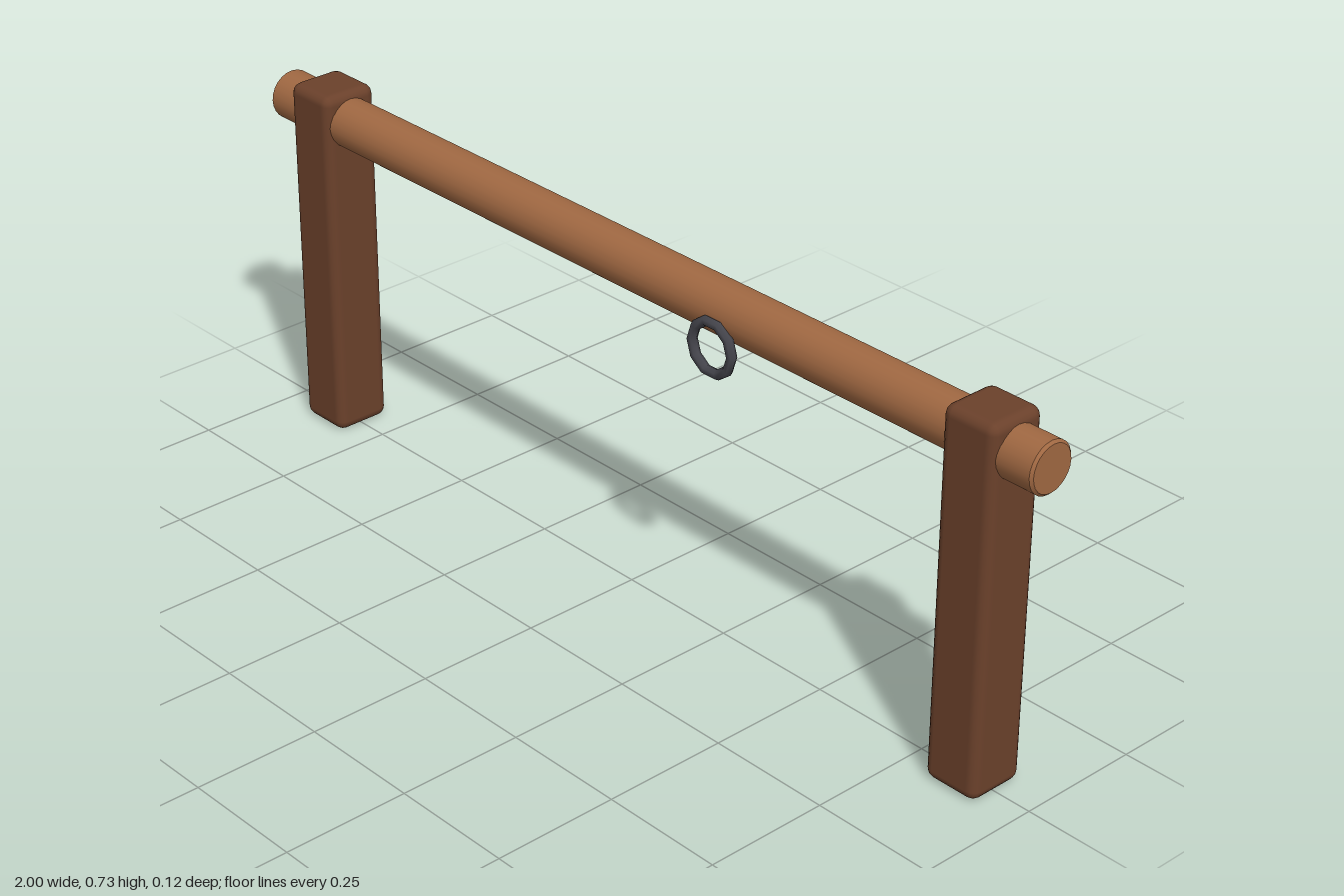
import * as THREE from 'three';
import { RoundedBoxGeometry } from 'three/addons/geometries/RoundedBoxGeometry.js';
import { toCreasedNormals } from 'three/addons/utils/BufferGeometryUtils.js';

const material = (name, color) => {
  const m = new THREE.MeshStandardMaterial({ color });
  m.name = name;
  return m;
};

export function createModel() {
  const darkWood = material('dark wood', 0x6b412b);
  const lightWood = material('light wood', 0xa06842);
  const iron = material('dark iron', 0x45454c);

  const group = new THREE.Group();
  group.name = 'hitchingRail';
  const add = (name, geometry, mat, x, y, z) => {
    const mesh = new THREE.Mesh(geometry, mat);
    mesh.name = name;
    mesh.position.set(x, y, z);
    group.add(mesh);
    return mesh;
  };

  // Two rounded upright posts
  const post = new RoundedBoxGeometry(0.118, 0.733, 0.12, 2, 0.02);
  add('leftPost', post, darkWood, 0.867, 0.3665, -0.001);
  add('rightPost', post, darkWood, -0.867, 0.3665, -0.001);

  // Round rail with slightly eased ends, running through both posts
  const profile = [[0, -1], [0.045, -1], [0.05, -0.995], [0.05, 0.995], [0.045, 1], [0, 1]]
    .map(([r, y]) => new THREE.Vector2(r, y));
  const railGeometry = toCreasedNormals(new THREE.LatheGeometry(profile, 24), 0.6);
  add('rail', railGeometry, lightWood, 0, 0.669, 0).rotation.z = -Math.PI / 2;

  // Tether ring hanging on the front of the rail
  add('tetherRing', new THREE.TorusGeometry(0.05, 0.01, 6, 10), iron, 0.265, 0.617, 0.053);

  return group;
}
